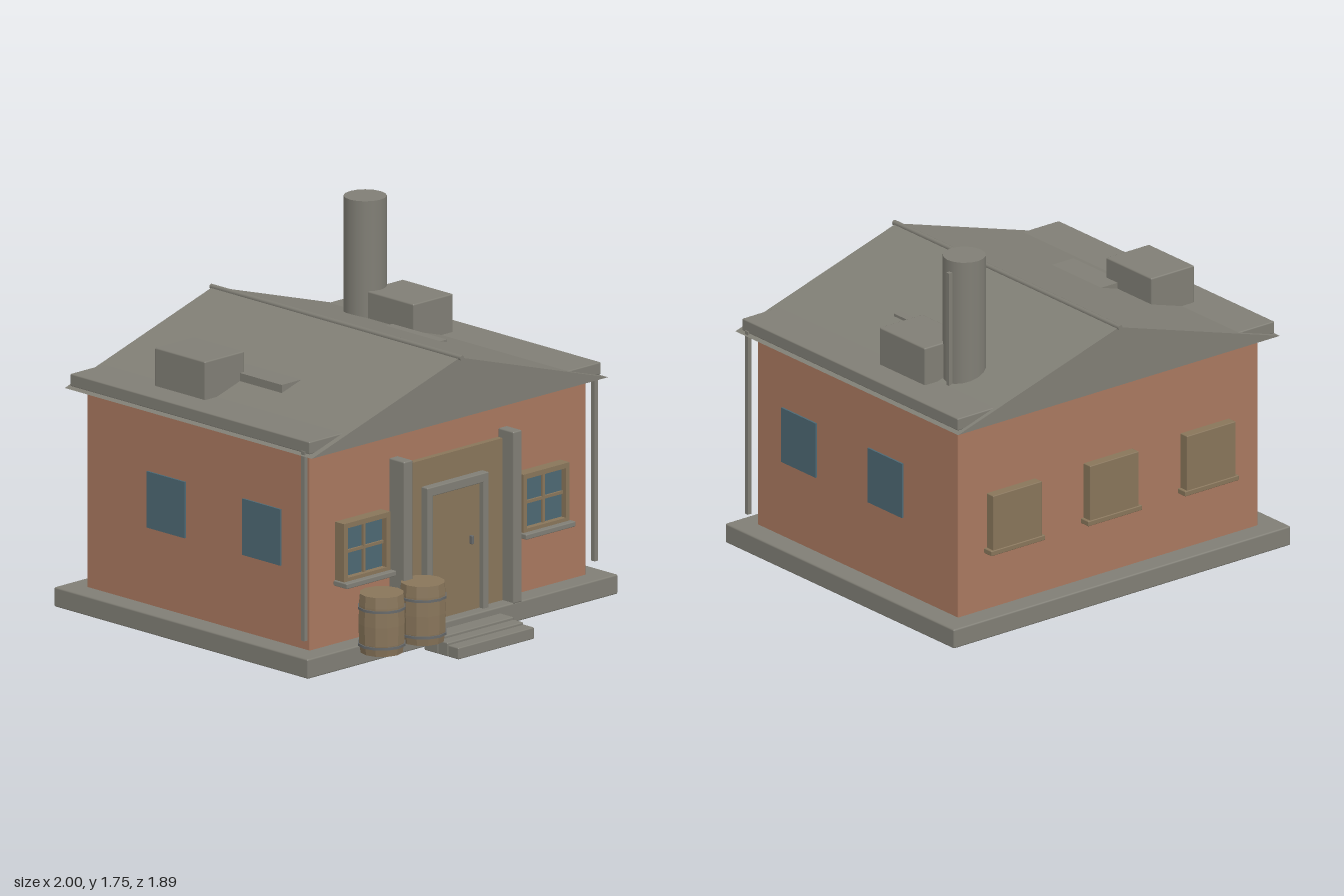
import * as THREE from 'three';
import { RoundedBoxGeometry } from 'three/addons/geometries/RoundedBoxGeometry.js';

export function createModel() {
  const house = new THREE.Group();
  house.name = 'house';

  const mat = (name, color) => {
    const m = new THREE.MeshStandardMaterial({ color });
    m.name = name;
    return m;
  };
  const brick = mat('brick', 0xa9785f);
  const stone = mat('stone', 0x807e75);
  const wood = mat('wood', 0x88755a);
  const glass = mat('glass', 0x4d6873);
  const metal = mat('metal', 0x686a6a);

  const add = (parent, name, geometry, material, x = 0, y = 0, z = 0) => {
    const mesh = new THREE.Mesh(geometry, material);
    mesh.name = name;
    mesh.position.set(x, y, z);
    parent.add(mesh);
    return mesh;
  };
  // Box given by its extents; bevel rounds the edges slightly
  const box = (parent, name, material, [x0, x1], [y0, y1], [z0, z1], bevel = 0) => {
    const size = [x1 - x0, y1 - y0, z1 - z0];
    const geometry = bevel
      ? new RoundedBoxGeometry(...size, 1, bevel)
      : new THREE.BoxGeometry(...size);
    return add(parent, name, geometry, material, (x0 + x1) / 2, (y0 + y1) / 2, (z0 + z1) / 2);
  };
  const group = (name, x = 0, y = 0, z = 0) => {
    const g = new THREE.Group();
    g.name = name;
    g.position.set(x, y, z);
    house.add(g);
    return g;
  };

  // Foundation, steps and walls
  box(house, 'foundation', stone, [-1, 1], [0.015, 0.11], [-0.945, 0.725], 0.008);
  const steps = group('steps');
  [[0.72, 0.81, 0.078], [0.81, 0.875, 0.067], [0.875, 0.945, 0.057]].forEach(([z0, z1, top]) =>
    box(steps, 'step', stone, [-0.245, 0.245], [0, top], [z0, z1], 0.006));
  box(house, 'walls', brick, [-0.89, 0.89], [0.1, 1.07], [-0.84, 0.625], 0.006);

  // Gable roof with an eaves slab and ridge cap
  const roof = group('roof');
  const gable = new THREE.Shape([
    new THREE.Vector2(-0.955, 1.06), new THREE.Vector2(0.955, 1.06), new THREE.Vector2(0, 1.35),
  ]);
  add(roof, 'gableRoof', new THREE.ExtrudeGeometry(gable, { depth: 1.625, bevelEnabled: false }),
    stone, 0, 0, -0.92);
  box(roof, 'eavesSlab', stone, [-0.94, 0.94], [1.07, 1.13], [-0.9, 0.675], 0.006);
  box(roof, 'roofPanel', stone, [-0.575, 0.49], [1.1, 1.214], [-0.24, 0.12]);
  add(roof, 'ridgeCap', new THREE.CylinderGeometry(0.013, 0.013, 1.65, 8), stone, 0, 1.35, -0.105)
    .rotation.x = Math.PI / 2;

  // Roof boxes and downpipes on both sides
  for (const s of [-1, 1]) {
    const side = (a, b) => (s > 0 ? [a, b] : [-b, -a]);
    box(roof, 'roofBox', stone, side(0.545, 0.8), [1.09, 1.313], [-0.487, -0.155], 0.007);
    box(house, 'downpipe', stone, side(0.925, 0.946), [0.17, 1.08], [0.625, 0.647]);

    // Plain side windows
    for (const z of [0.315, -0.315])
      box(house, 'sideWindow', glass, side(0.885, 0.899), [0.48, 0.75], [z - 0.125, z + 0.125]);
  }

  // Chimney with a thin pipe beside it
  add(house, 'chimney', new THREE.CylinderGeometry(0.1, 0.1, 0.645, 16), stone, 0.605, 1.4225, -0.535);
  box(house, 'chimneyPipe', stone, [0.695, 0.72], [1.12, 1.69], [-0.565, -0.545]);

  // Entrance: wooden panel, pillars, door and door frame
  const entrance = group('entrance');
  box(entrance, 'entrancePanel', wood, [-0.345, 0.345], [0.11, 0.887], [0.62, 0.655]);
  for (const s of [-1, 1]) {
    const x = 0.3525 * s;
    box(entrance, 'pillar', stone, [x - 0.028, x + 0.028], [0.105, 0.93], [0.625, 0.727], 0.007);
    const j = 0.18 * s;
    box(entrance, 'doorJamb', stone, [j - 0.018, j + 0.018], [0.105, 0.73], [0.65, 0.695], 0.005);
  }
  box(entrance, 'doorLintel', stone, [-0.198, 0.198], [0.715, 0.76], [0.65, 0.695], 0.005);
  box(entrance, 'door', wood, [-0.165, 0.165], [0.11, 0.716], [0.65, 0.668]);
  box(entrance, 'doorHandle', metal, [0.098, 0.112], [0.428, 0.47], [0.665, 0.685], 0.004);

  // Front windows with frame, crossbars and sill
  for (const x of [-0.578, 0.578]) {
    const w = group('frontWindow', x, 0.552, 0.625);
    box(w, 'pane', glass, [-0.135, 0.135], [-0.135, 0.135], [0, 0.03]);
    for (const s of [-1, 1]) {
      const a = 0.137 * s, b = 0.131 * s;
      box(w, 'frameSide', wood, [a - 0.012, a + 0.012], [-0.143, 0.143], [0, 0.06]);
      box(w, 'frameRail', wood, [-0.126, 0.126], [b - 0.012, b + 0.012], [0, 0.06]);
    }
    box(w, 'crossbarVertical', wood, [-0.007, 0.007], [-0.12, 0.12], [0.02, 0.042]);
    box(w, 'crossbarHorizontal', wood, [-0.126, 0.126], [-0.007, 0.007], [0.02, 0.041]);
    box(w, 'sill', stone, [-0.16, 0.16], [-0.162, -0.136], [0, 0.09], 0.005);
  }

  // Shuttered back windows
  for (const x of [-0.575, 0, 0.575]) {
    const w = group('backWindow', x, 0.547, -0.84);
    box(w, 'shutter', wood, [-0.145, 0.145], [-0.138, 0.138], [-0.048, 0.005], 0.004);
    box(w, 'backSill', wood, [-0.16, 0.16], [-0.157, -0.132], [-0.053, 0.005], 0.004);
  }

  // Barrels with metal hoops
  const staves = [[0, 0], [0.1, 0], [0.108, 0.05], [0.11, 0.14], [0.108, 0.23], [0.103, 0.283], [0, 0.283]]
    .map(([r, y]) => new THREE.Vector2(r, y));
  for (const [x, z] of [[-0.58, 0.782], [-0.317, 0.784]]) {
    const barrel = group('barrel', x, 0.077, z);
    const body = new THREE.LatheGeometry(staves, 12).toNonIndexed();
    body.computeVertexNormals();
    add(barrel, 'barrelBody', body, wood);
    for (const y of [0.04, 0.215])
      add(barrel, 'hoop', new THREE.CylinderGeometry(0.113, 0.113, 0.012, 12), metal, 0, y, 0);
  }

  return house;
}
